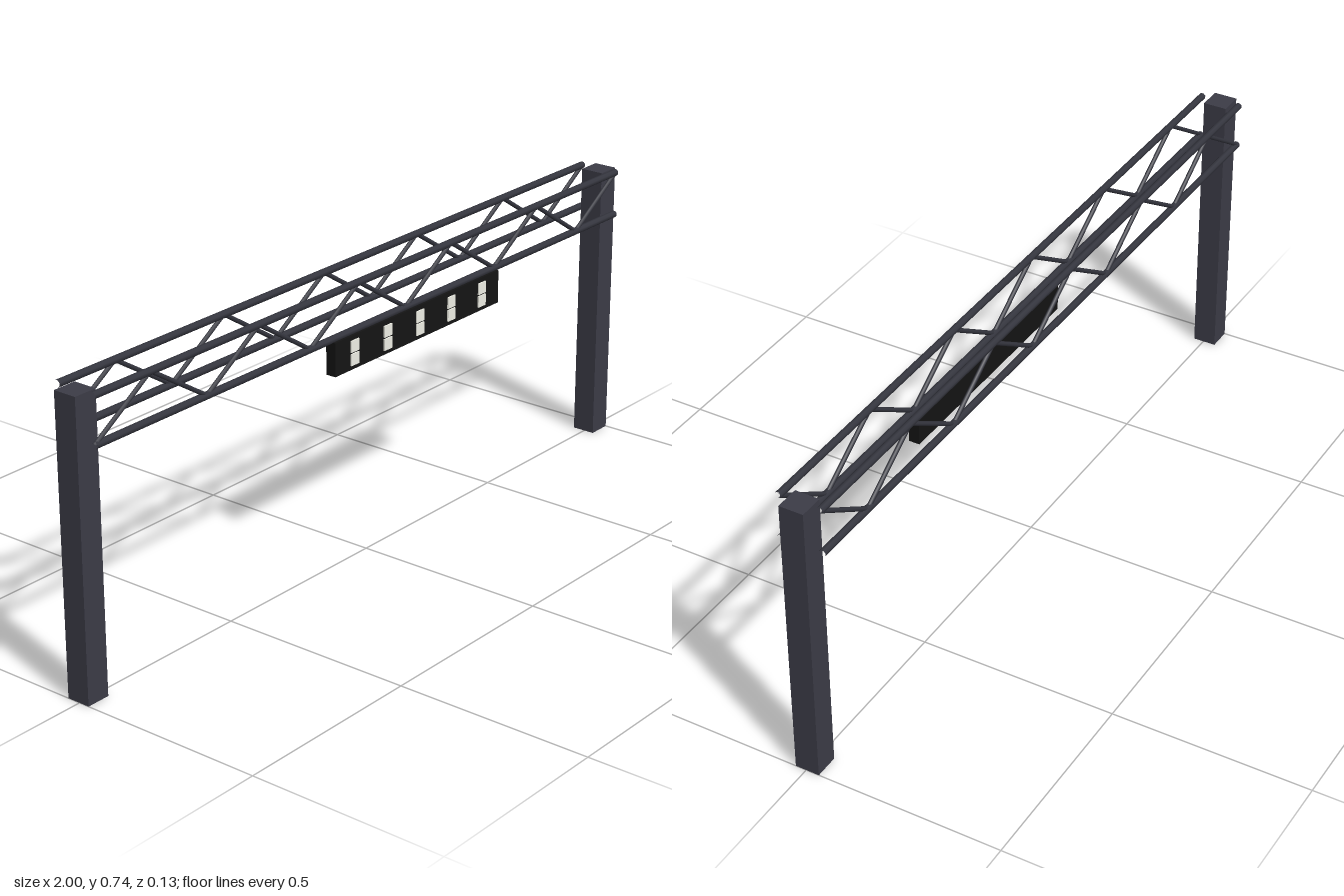
import * as THREE from 'three';

const steel = new THREE.MeshStandardMaterial({ color: 0x3c3c47 });
const trussSteel = new THREE.MeshStandardMaterial({ color: 0x34353e });
const black = new THREE.MeshStandardMaterial({ color: 0x141414 });
const lampWhite = new THREE.MeshStandardMaterial({ color: 0xf0f0e6 });

function box(name, material, w, h, d, x, y, z) {
  const mesh = new THREE.Mesh(new THREE.BoxGeometry(w, h, d), material);
  mesh.name = name;
  mesh.position.set(x, y, z);
  return mesh;
}

// Round bar without end caps, lying along x and tilted in the xy plane
function bar(name, radius, length, x, y, tilt) {
  const geometry = new THREE.CylinderGeometry(radius, radius, length, 8, 1, true);
  geometry.rotateY(Math.PI / 8).rotateZ(Math.PI / 2);
  const mesh = new THREE.Mesh(geometry, trussSteel);
  mesh.name = name;
  mesh.position.set(x, y, 0);
  mesh.rotation.z = tilt;
  return mesh;
}

const HALF_SPAN = 0.97, LOW = 0.616, HIGH = 0.729, BAYS = 11;

// Flat lattice girder: two chords joined by a zigzag of thinner braces
function createTruss(name, z) {
  const truss = new THREE.Group();
  truss.name = name;
  truss.position.z = z;
  truss.add(bar('lowerChord', 0.009, 2 * HALF_SPAN, 0, LOW, 0));
  truss.add(bar('upperChord', 0.009, 2 * HALF_SPAN, 0, HIGH, 0));

  const step = (2 * HALF_SPAN) / BAYS;
  const rise = HIGH - LOW;
  for (let i = 0; i < BAYS; i++) {
    truss.add(bar('brace', 0.0055, Math.hypot(step, rise),
      -HALF_SPAN + (i + 0.5) * step, (LOW + HIGH) / 2,
      Math.atan2(rise, step) * (i % 2 ? -1 : 1)));
  }
  return truss;
}

// Hanging board with five columns of paired lamps
function createSignalBoard() {
  const board = new THREE.Group();
  board.name = 'signalBoard';
  board.position.set(0.126, 0.569, 0.049);
  board.add(box('boardPanel', black, 0.634, 0.084, 0.027, 0, 0, 0));
  for (let i = -2; i <= 2; i++) {
    for (const y of [-0.0165, 0.0165]) {
      board.add(box('lamp', lampWhite, 0.029, 0.029, 0.006, i * 0.1235, y, 0.014));
    }
  }
  return board;
}

export function createModel() {
  const gantry = new THREE.Group();
  gantry.name = 'gantry';

  // Square posts at both ends
  for (const side of [-1, 1]) {
    gantry.add(box(side > 0 ? 'leftPost' : 'rightPost', steel,
      0.062, 0.73, 0.061, side * 0.969, 0.365, -0.003));
  }

  gantry.add(createTruss('frontTruss', 0.049));
  gantry.add(createTruss('backTruss', -0.055));
  gantry.add(createSignalBoard());
  return gantry;
}
